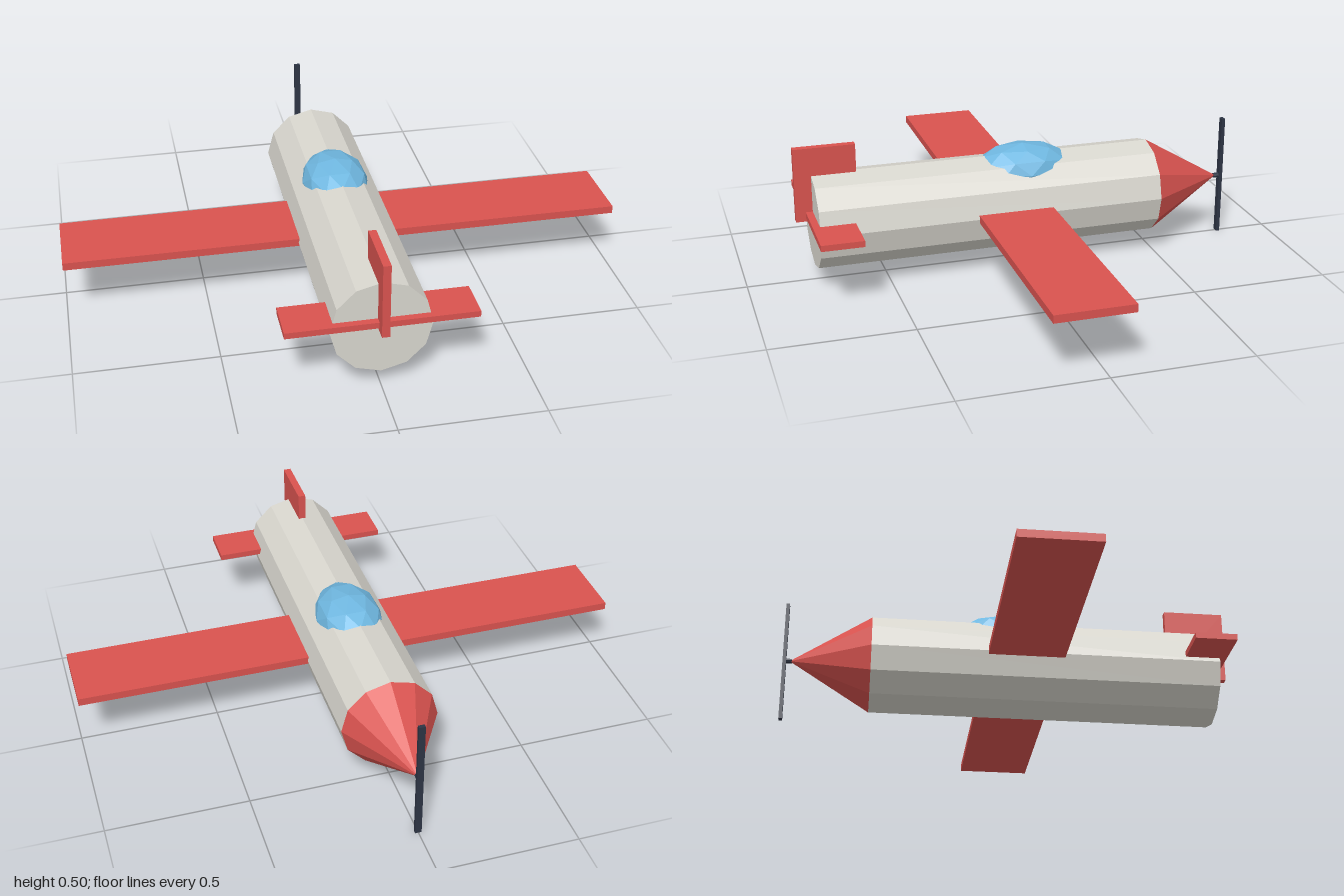
import * as THREE from 'three';

export function createModel() {
  const plane = new THREE.Group();
  plane.name = 'propellerPlane';

  const paint = (name, color) => {
    const m = new THREE.MeshStandardMaterial({ color, flatShading: true });
    m.name = name;
    return m;
  };
  const grey = paint('warmGrey', 0xd8d6ce);
  const red = paint('red', 0xd9534f);
  const blue = paint('canopyBlue', 0x6fb7e0);
  const dark = paint('darkSlate', 0x2d3444);

  const add = (name, geometry, material, x, y, z) => {
    const mesh = new THREE.Mesh(geometry, material);
    mesh.name = name;
    mesh.position.set(x, y, z);
    plane.add(mesh);
    return mesh;
  };
  // Box given by its extents along y and z, centred on x
  const slab = (name, material, width, y0, y1, z0, z1) =>
    add(name, new THREE.BoxGeometry(width, y1 - y0, z1 - z0), material, 0, (y0 + y1) / 2, (z0 + z1) / 2);
  // Round part lying along z, from its front radius to its back radius
  const tube = (name, material, rFront, rBack, zFront, zBack, sides) =>
    add(name, new THREE.CylinderGeometry(rFront, rBack, zBack - zFront, sides).rotateX(-Math.PI / 2),
      material, 0, axisY, (zFront + zBack) / 2);

  const axisY = 0.228;

  // Body and pointed nose
  tube('fuselage', grey, 0.173, 0.173, -0.5, 0.755, 12);
  tube('noseCone', red, 0, 0.173, -0.79, -0.5, 12);

  // Wings and tail
  slab('wing', red, 2, 0.215, 0.243, -0.085, 0.19);
  slab('tailplane', red, 0.65, 0.243, 0.265, 0.63, 0.78);
  slab('tailFin', red, 0.027, 0.23, 0.5, 0.595, 0.815);

  // Faceted canopy
  const canopy = new THREE.IcosahedronGeometry(1, 1).scale(0.12, 0.088, 0.18);
  add('canopy', canopy, blue, 0, 0.35, -0.02);

  // Propeller
  tube('propellerHub', dark, 0.011, 0.009, -0.812, -0.782, 8);
  slab('propellerBlade', dark, 0.023, 0, 0.455, -0.815, -0.802);

  return plane;
}
